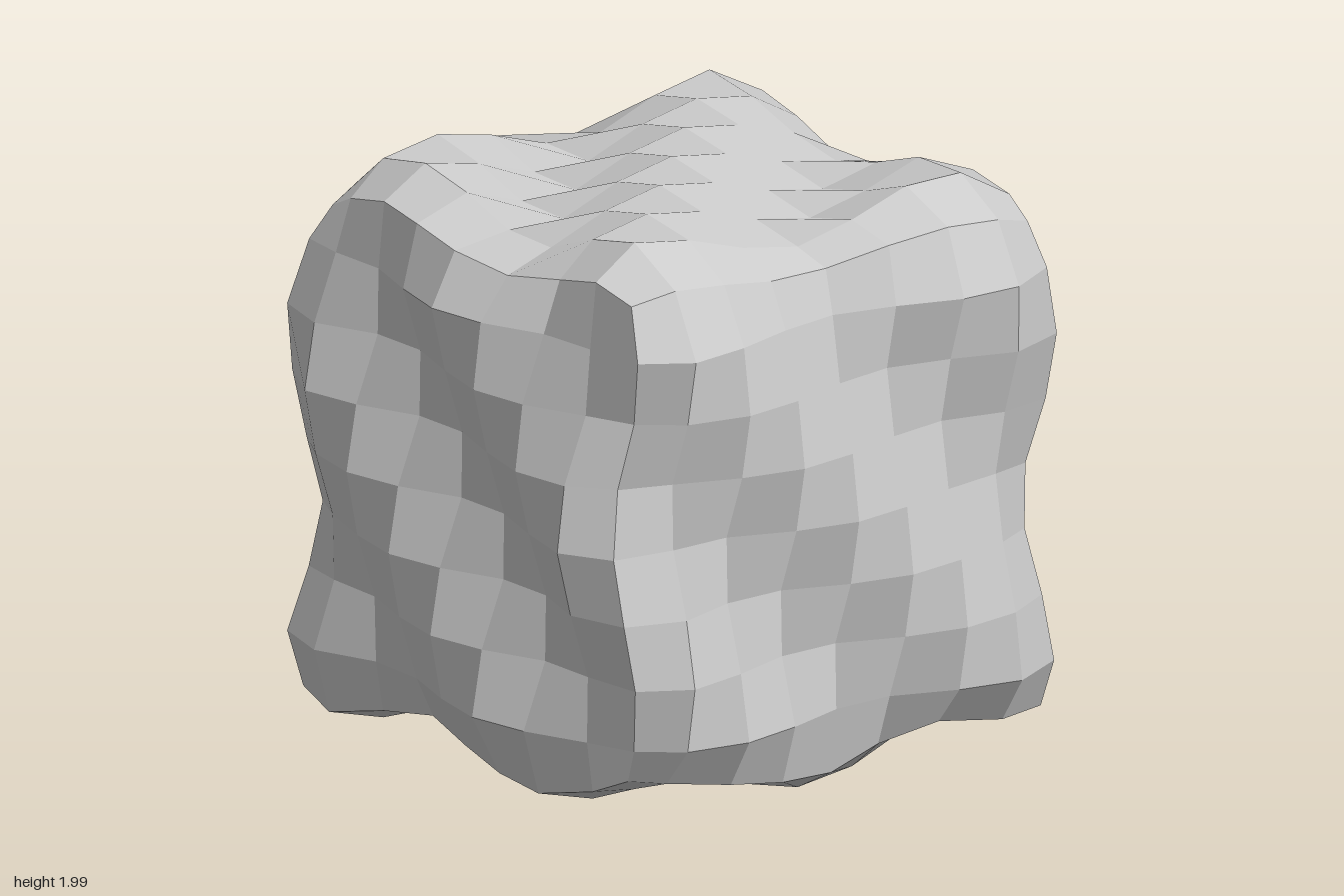
import * as THREE from 'three';

const N = 4;                 // lattice runs from -N to N on each axis
const CELL = 0.223;
const WAVE = [1, 1, -1];     // ripples travel along this body diagonal
const PERIOD = 5.25;
const AMPLITUDE = 0.65;
const HALF = 4.2;            // mean half size of the block in cells

// Ripple strength at a point
function ripple(p) {
  const m = p[0] * WAVE[0] + p[1] * WAVE[1] + p[2] * WAVE[2];
  return AMPLITUDE * Math.sin((2 * Math.PI * (m - 3.05)) / PERIOD);
}

// Point where a line along one axis leaves the rippled block
function crossing(axis, sign, p) {
  const gap = (h) => {
    const q = [...p];
    q[axis] = sign * h;
    return h - HALF - ripple(q);
  };
  const inner = gap(N - 0.5), outer = gap(N + 0.5);
  const t = THREE.MathUtils.clamp(-inner / (outer - inner), 0, 1);
  const result = [...p];
  result[axis] = sign * (N - 0.5 + t);
  return result;
}

// Mean of the crossings around a shell lattice point, which rounds edges and corners
function surfacePoint(p) {
  const sum = new THREE.Vector3();
  let count = 0;
  const near = (c) => (Math.abs(c) === N ? [Math.sign(c) * (N - 0.5)] : [c - 0.5, c + 0.5]);
  for (let axis = 0; axis < 3; axis++) {
    if (Math.abs(p[axis]) !== N) continue;
    const b = (axis + 1) % 3, c = (axis + 2) % 3;
    for (const u of near(p[b])) {
      for (const v of near(p[c])) {
        const q = [0, 0, 0];
        q[b] = u;
        q[c] = v;
        sum.add(new THREE.Vector3(...crossing(axis, Math.sign(p[axis]), q)));
        count++;
      }
    }
  }
  sum.multiplyScalar(CELL / count);
  sum.y += 1;
  return sum;
}

// One side of the block: an 8 x 8 patch of evenly shaded quads
function addSide(positions, normals, axis, sign) {
  const b = (axis + 1) % 3, c = (axis + 2) % 3;
  const at = (u, v) => {
    const p = [0, 0, 0];
    p[axis] = sign * N;
    p[b] = u;
    p[c] = v;
    return surfacePoint(p);
  };
  const alongRidge = sign * [1, -1, 1][axis] > 0;
  const ridgeIsRising = WAVE[b] * WAVE[c] < 0;
  for (let u = -N; u < N; u++) {
    for (let v = -N; v < N; v++) {
      const q = [at(u, v), at(u + 1, v), at(u + 1, v + 1), at(u, v + 1)];
      const order = alongRidge === ridgeIsRising ? [0, 1, 2, 0, 2, 3] : [0, 1, 3, 1, 2, 3];
      if (sign < 0) order.reverse();
      const normal = q[2].clone().sub(q[0]).cross(q[3].clone().sub(q[1]));
      normal.normalize().multiplyScalar(sign);
      for (const i of order) {
        positions.push(...q[i].toArray());
        normals.push(...normal.toArray());
      }
    }
  }
}

export function createModel() {
  const positions = [], normals = [];
  for (let axis = 0; axis < 3; axis++) {
    for (const sign of [1, -1]) addSide(positions, normals, axis, sign);
  }
  const geometry = new THREE.BufferGeometry();
  geometry.setAttribute('position', new THREE.Float32BufferAttribute(positions, 3));
  geometry.setAttribute('normal', new THREE.Float32BufferAttribute(normals, 3));

  const block = new THREE.Mesh(geometry, new THREE.MeshStandardMaterial({ color: 0xcccccc }));
  block.name = 'rippledBlock';

  const group = new THREE.Group();
  group.name = 'rippledCube';
  group.add(block);
  return group;
}
